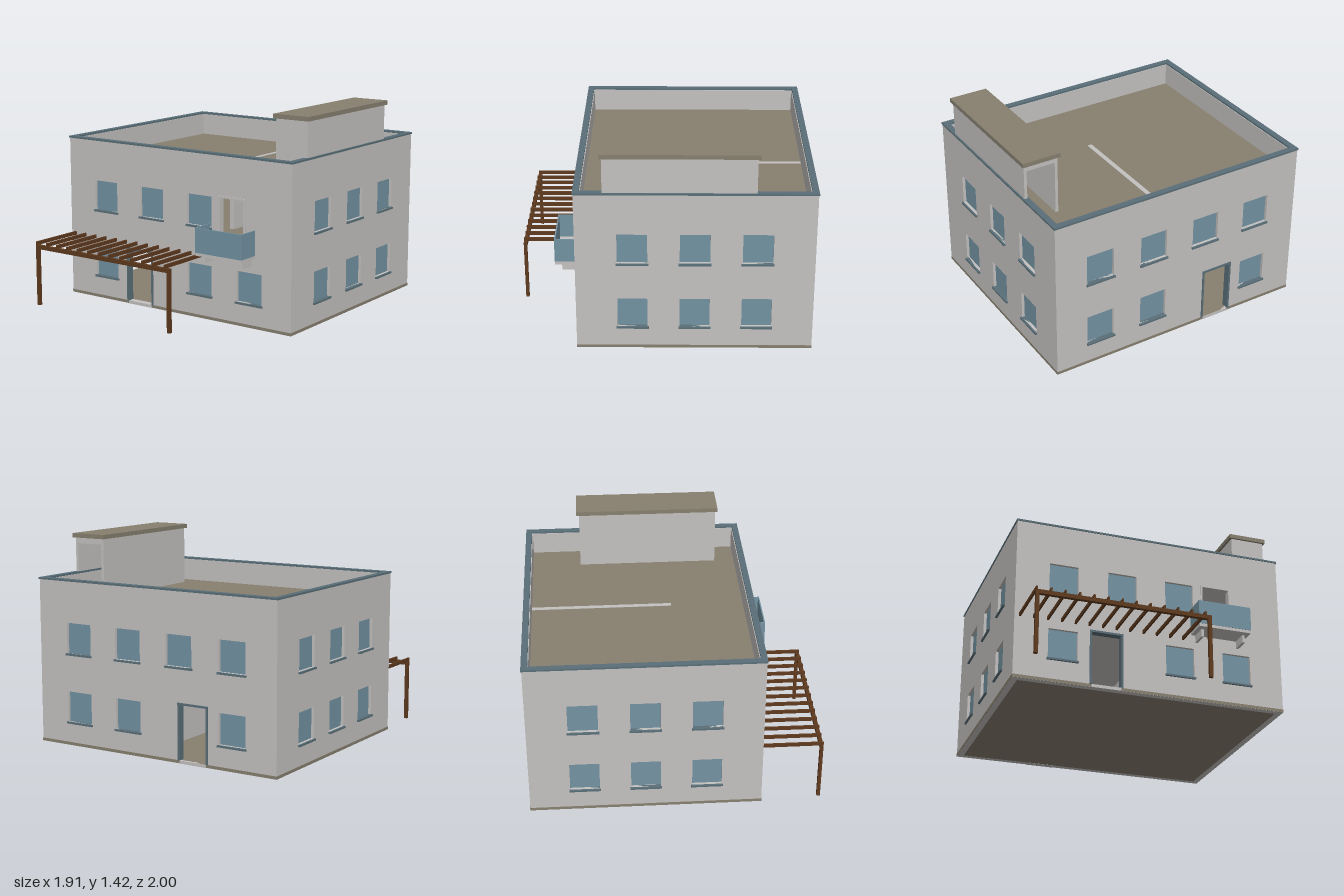
import * as THREE from 'three';

const mat = (name, color) => Object.assign(new THREE.MeshStandardMaterial({ color }), { name });

export function createModel() {
  const plaster = mat('plaster', 0xc4c2c0);
  const stone = mat('roofStone', 0x878070);
  const trim = mat('slateTrim', 0x5a6f78);
  const glass = mat('blueGlass', 0x7392a2);
  const wood = mat('darkWood', 0x5f3a1e);

  const model = new THREE.Group();
  model.name = 'house';

  // Box given by its bounds on each axis
  function box(parent, name, material, [x0, x1], [y0, y1], [z0, z1]) {
    const mesh = new THREE.Mesh(new THREE.BoxGeometry(x1 - x0, y1 - y0, z1 - z0), material);
    mesh.position.set((x0 + x1) / 2, (y0 + y1) / 2, (z0 + z1) / 2);
    mesh.name = name;
    parent.add(mesh);
    return mesh;
  }

  function rect(Type, x0, x1, y0, y1) {
    const s = new Type();
    s.moveTo(x0, y0);
    s.lineTo(x1, y0);
    s.lineTo(x1, y1);
    s.lineTo(x0, y1);
    s.closePath();
    return s;
  }

  const X0 = -0.945, X1 = 0.939, Z0 = -0.982, Z1 = 0.59;
  const CX = (X0 + X1) / 2, CZ = (Z0 + Z1) / 2;
  const T = 0.043, ROOF = 0.975, TOP = 1.133;
  const LOW = 0.165, HIGH = 0.64, WIN_W = 0.2, WIN_H = 0.21;

  // Wall with openings; its outer face is at local z = T, the room side stays open
  function wall(name, width, windows, doors) {
    const g = new THREE.Group();
    g.name = name;
    const shape = rect(THREE.Shape, -width / 2, width / 2, 0, ROOF);
    for (const [u, y] of windows)
      shape.holes.push(rect(THREE.Path, u - WIN_W / 2, u + WIN_W / 2, y, y + WIN_H));
    for (const d of doors)
      shape.holes.push(rect(THREE.Path, d.u - d.w / 2, d.u + d.w / 2, d.y0, d.y1));
    const geo = new THREE.ExtrudeGeometry(shape, { depth: T, bevelEnabled: false });
    const skip = geo.groups[0].count / 2; // first half of the lids is the room side
    const shell = new THREE.BufferGeometry();
    for (const key of ['position', 'normal']) {
      const a = geo.getAttribute(key);
      shell.setAttribute(key, new THREE.BufferAttribute(a.array.slice(skip * 3), 3));
    }
    const mesh = new THREE.Mesh(shell, plaster);
    mesh.name = 'wallShell';
    g.add(mesh);

    for (const [u, y] of windows) {
      box(g, 'windowPane', glass, [u - WIN_W / 2, u + WIN_W / 2], [y, y + WIN_H], [T - 0.026, T - 0.02]);
      box(g, 'windowSill', trim, [u - 0.107, u + 0.107], [y - 0.013, y], [T - 0.02, T + 0.013]);
    }
    for (const d of doors) {
      const l = d.u - d.w / 2, r = d.u + d.w / 2, f = 0.014, z = [0, T + 0.007];
      box(g, 'doorJamb', d.frame, [l, l + f], [d.y0, d.y1], z);
      box(g, 'doorJamb', d.frame, [r - f, r], [d.y0, d.y1], z);
      box(g, 'doorHead', d.frame, [l + f, r - f], [d.y1 - f, d.y1], z);
      if (d.y0 < 0.1) box(g, 'doorThreshold', plaster, [l + f, r - f], [0, 0.021], [0, T + 0.005]);
    }
    model.add(g);
    return g;
  }

  // Four outer walls
  const cols = [-0.612, -0.204, 0.204, 0.612];
  const door = (u) => ({ u, w: 0.232, y0: 0.02, y1: 0.405, frame: trim });
  const at = (us, y) => us.map((u) => [u, y]);
  const W = X1 - X0, D = Z1 - Z0;

  const front = wall('frontWall', W,
    [...at(cols.slice(0, 3), HIGH), ...at([cols[0], cols[2], cols[3]], LOW)],
    [door(-0.313), { u: 0.471, w: 0.22, y0: 0.5, y1: 0.865, frame: plaster }]);
  front.position.set(CX, 0, Z1 - T);

  const back = wall('backWall', W,
    [...at(cols, HIGH), ...at([cols[0], cols[1], cols[3]], LOW)], [door(0.313)]);
  back.rotation.y = Math.PI;
  back.position.set(CX, 0, Z0 + T);

  for (const s of [1, -1]) {
    const us = [-0.411, 0, 0.411];
    const side = wall(s > 0 ? 'leftWall' : 'rightWall', D - 2 * T, [...at(us, HIGH), ...at(us, LOW)], []);
    side.rotation.y = s * Math.PI / 2;
    side.position.set(s > 0 ? X1 - T : X0 + T, 0, CZ);
  }

  // Base slab, upper floor, roof deck and the partition that reaches the deck
  box(model, 'baseSlab', stone, [X0 - 0.002, X1 + 0.002], [0.001, 0.021], [Z0 - 0.002, Z1 + 0.002]);
  const inX = [X0 + T, X1 - T], inZ = [Z0 + T, Z1 - T];
  box(model, 'upperFloor', [plaster, plaster, stone, plaster, plaster, plaster], inX, [0.45, 0.5], inZ);
  box(model, 'roofDeck', [plaster, plaster, stone, plaster, plaster, plaster], inX, [0.93, ROOF], inZ);
  box(model, 'partition', plaster, [0.06, 0.093], [0.021, ROOF + 0.002], [Z0 + T, 0.04]);

  // Flat rectangular ring, used for the parapet and its coping
  function ring(name, material, out, y0, y1) {
    const shape = rect(THREE.Shape, X0 - out, X1 + out, -Z1 - out, -Z0 + out);
    shape.holes.push(rect(THREE.Path, X0 + T - out, X1 - T + out, -Z1 + T - out, -Z0 - T + out));
    const geo = new THREE.ExtrudeGeometry(shape, { depth: y1 - y0, bevelEnabled: false });
    const mesh = new THREE.Mesh(geo.rotateX(-Math.PI / 2), material);
    mesh.position.y = y0;
    mesh.name = name;
    model.add(mesh);
  }
  ring('parapet', plaster, 0, ROOF, TOP);
  ring('coping', trim, 0.005, TOP, 1.146);

  // Stair house on the roof, open at the back
  const stair = new THREE.Group();
  stair.name = 'stairHouse';
  model.add(stair);
  const sy = [ROOF, 1.386];
  box(stair, 'stairSide', plaster, [0.69, 0.71], sy, [-0.59, 0.404]);
  box(stair, 'stairSide', plaster, [0.913, 0.933], sy, [-0.59, 0.404]);
  box(stair, 'stairFront', plaster, [0.71, 0.913], sy, [0.384, 0.404]);
  box(stair, 'stairHeader', plaster, [0.71, 0.913], [1.345, 1.386], [-0.59, -0.57]);
  box(stair, 'stairRoof', stone, [0.675, 0.947], [1.386, 1.416], [-0.608, 0.418]);

  // Balcony with glass guard and two brackets
  const balcony = new THREE.Group();
  balcony.name = 'balcony';
  model.add(balcony);
  const bx0 = 0.282, bx1 = 0.656, bz = 0.747, gy = [0.497, 0.666], t = 0.009;
  box(balcony, 'balconyFloor', plaster, [bx0 + 0.002, bx1 - 0.002], [0.476, 0.5], [Z1, bz - 0.002]);
  box(balcony, 'guardFront', glass, [bx0, bx1], gy, [bz - t, bz]);
  box(balcony, 'guardSide', glass, [bx0, bx0 + t], gy, [Z1, bz - t]);
  box(balcony, 'guardSide', glass, [bx1 - t, bx1], gy, [Z1, bz - t]);
  for (const x of [0.322, 0.619])
    box(balcony, 'bracket', plaster, [x - 0.009, x + 0.009], [0.423, 0.476], [Z1, 0.7]);

  // Timber pergola
  const pergola = new THREE.Group();
  pergola.name = 'pergola';
  model.add(pergola);
  for (const x of [-0.903, 0.252])
    box(pergola, 'post', wood, [x - 0.012, x + 0.012], [0, 0.41], [0.977, 1]);
  box(pergola, 'beam', wood, [-0.915, 0.264], [0.405, 0.433], [0.975, 1]);
  for (let i = 0; i < 13; i++) {
    const x = -0.908 + i * 0.0943;
    box(pergola, 'rafter', wood, [x - 0.006, x + 0.006], [0.431, 0.456], [Z1, 1]);
  }
  return model;
}
